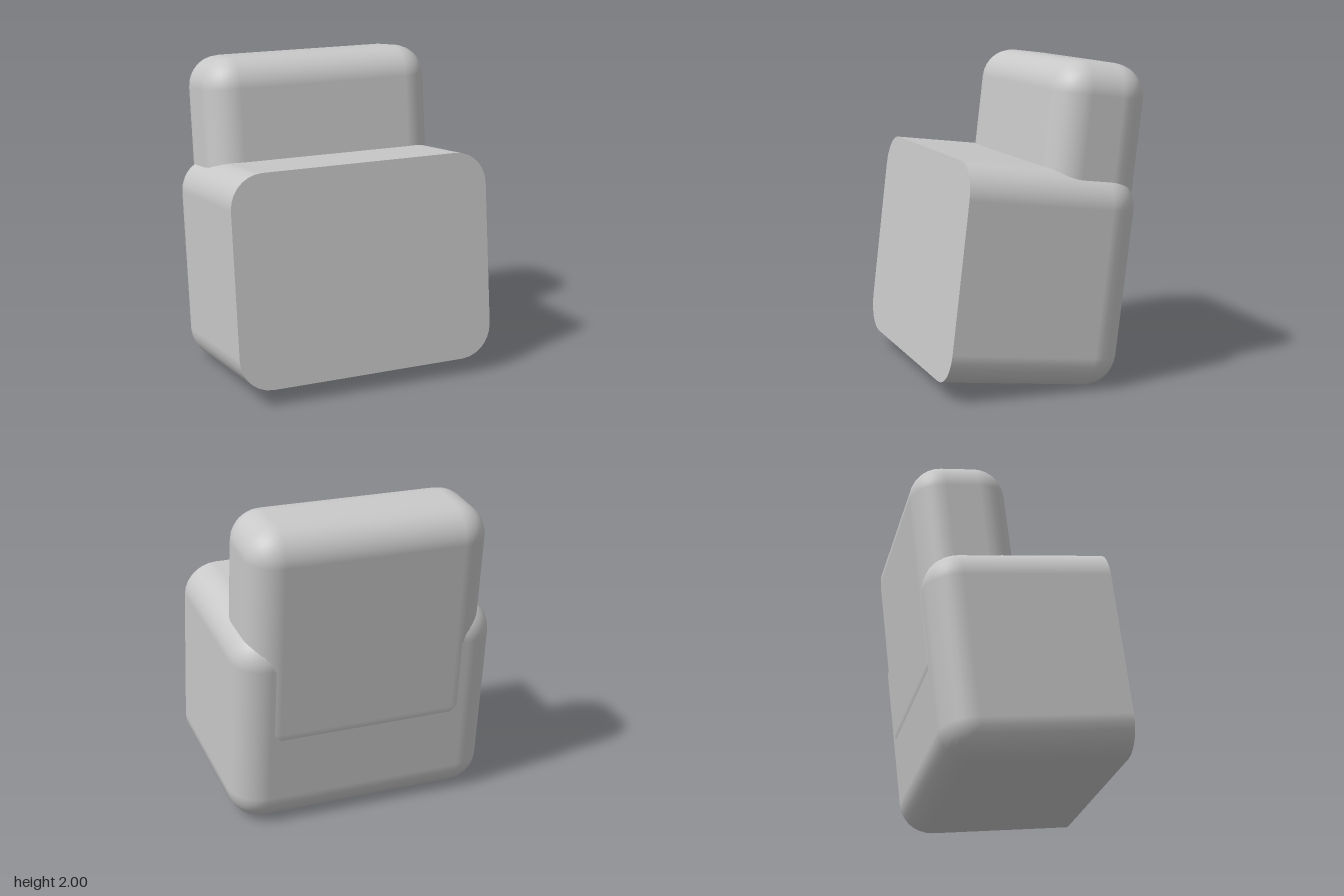
import * as THREE from 'three';
import { RoundedBoxGeometry } from 'three/addons/geometries/RoundedBoxGeometry.js';

// Rounded box given by its limits on each axis
function roundedBlock([x0, x1], [y0, y1], [z0, z1], radius) {
  const g = new RoundedBoxGeometry(x1 - x0, y1 - y0, z1 - z0, 4, radius);
  return g.translate((x0 + x1) / 2, (y0 + y1) / 2, (z0 + z1) / 2);
}

// Slice the front of a geometry off flat at z = front, with a crisp rim
function flattenFront(geometry, front) {
  const pos = geometry.attributes.position;
  const nor = geometry.attributes.normal;
  for (let i = 0; i < pos.count; i += 3) {
    const corners = [i, i + 1, i + 2];
    const onFront = corners.every((k) => pos.getZ(k) > front - 1e-4);
    for (const k of corners) {
      pos.setZ(k, Math.min(pos.getZ(k), front));
      if (onFront) nor.setXYZ(k, 0, 0, 1);
    }
  }
  return geometry;
}

export function createModel() {
  const model = new THREE.Group();
  model.name = 'blockSeat';

  const gray = new THREE.MeshStandardMaterial({ color: 0xc8c8c8 });
  gray.name = 'plain gray';

  // Both blocks lean back and turn slightly to one side together
  const body = new THREE.Group();
  body.name = 'tiltedBody';
  body.rotation.set(-0.1187, -0.2094, 0, 'YXZ');
  model.add(body);

  // Wide base with a flat front and rounded back
  const front = 0.65;
  const r = 0.21;
  const base = new THREE.Mesh(
    flattenFront(roundedBlock([-0.825, 0.885], [0.03, 1.36], [-0.48, front + r], r), front),
    gray
  );
  base.name = 'seatBase';
  body.add(base);

  // Upright backrest, sunk into the base
  const back = new THREE.Mesh(
    roundedBlock([-0.73, 0.81], [0.5, 2.02], [-0.485, 0.12], 0.2),
    gray
  );
  back.name = 'backrest';
  body.add(back);

  return model;
}
